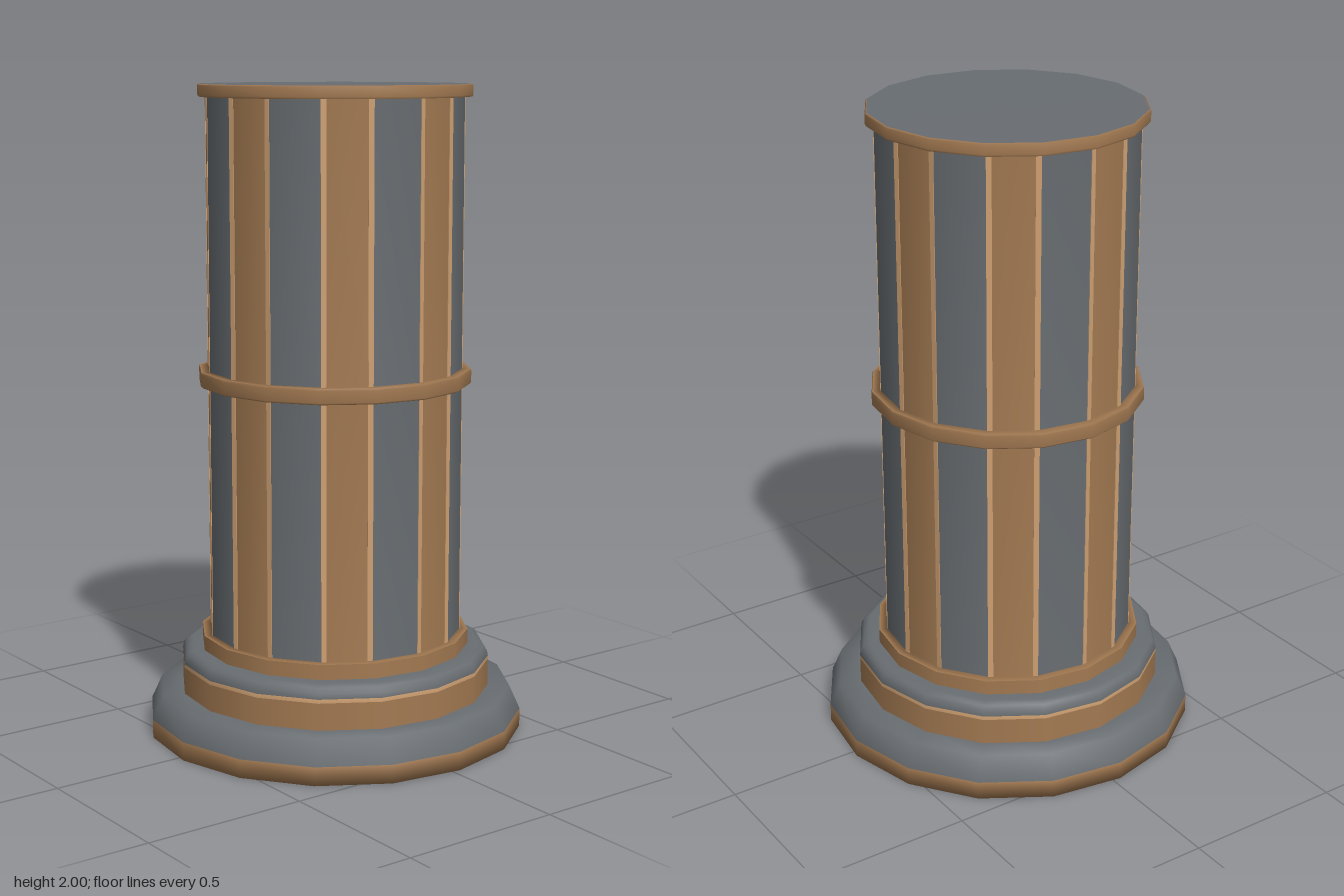
import * as THREE from 'three';

const SIDES = 16;
const STEP = (Math.PI * 2) / SIDES;
const START = 0.0428; // slight twist of the sixteen-sided column

const stone = new THREE.MeshStandardMaterial({ color: 0x686d71 });
stone.name = 'grey stone';
const bronze = new THREE.MeshStandardMaterial({ color: 0xa37a52 });
bronze.name = 'bronze';
const tan = new THREE.MeshStandardMaterial({ color: 0xcfa173 });
tan.name = 'light tan edge';
const materials = [stone, bronze, tan];
const S = 0, B = 1, T = 2;

// Turned part: a profile from bottom to top, one colour per profile span.
// A span colour may be a pair, which then alternates from side to side.
function turned(name, profile, colours) {
  const points = profile.map(([r, y]) => new THREE.Vector2(r, y));
  const geometry = new THREE.LatheGeometry(points, SIDES, START);
  const source = geometry.index.array;
  const buckets = materials.map(() => []);
  const spans = profile.length - 1;
  for (let i = 0; i < SIDES; i++) {
    for (let j = 0; j < spans; j++) {
      const c = Array.isArray(colours[j]) ? colours[j][i % 2] : colours[j];
      const at = (i * spans + j) * 6;
      buckets[c].push(...source.slice(at, at + 6));
    }
  }
  geometry.setIndex(buckets.flat());
  let offset = 0;
  buckets.forEach((bucket, c) => {
    if (bucket.length) geometry.addGroup(offset, bucket.length, c);
    offset += bucket.length;
  });
  const mesh = new THREE.Mesh(geometry, materials);
  mesh.name = name;
  return mesh;
}

// One shaft section with the ledges it meets and light edges on its bronze panels
function shaft(name, bottom, top) {
  const group = new THREE.Group();
  group.name = name;
  const r = 0.393;
  group.add(turned(name + 'Panels',
    [[0.42, bottom], [r, bottom], [r, top], [0.415, top]],
    [B, [B, S], B]));
  const half = r * Math.sin(STEP / 2);
  const face = r * Math.cos(STEP / 2);
  const width = 0.016;
  const edge = new THREE.BoxGeometry(width, top - bottom, 0.004);
  for (let i = 0; i < SIDES; i += 2) {
    const panel = new THREE.Group();
    panel.name = 'panelEdges';
    panel.rotation.y = START + (i + 0.5) * STEP;
    for (const side of [-1, 1]) {
      const strip = new THREE.Mesh(edge, tan);
      strip.name = 'panelEdge';
      strip.position.set(side * (half - width / 2), (bottom + top) / 2, face);
      panel.add(strip);
    }
    group.add(panel);
  }
  return group;
}

export function createModel() {
  const model = new THREE.Group();
  model.name = 'column';

  // Wide foot with a bronze band and sloping stone shoulder
  model.add(turned('foot',
    [[0, 0], [0.587, 0], [0.587, 0.057], [0.553, 0.132], [0.48, 0.132]],
    [S, B, S, S]));

  // Stepped plinth with a rounded stone lip
  model.add(turned('plinth',
    [[0.485, 0.132], [0.485, 0.215], [0.485, 0.227], [0.482, 0.243],
      [0.473, 0.258], [0.455, 0.266], [0.415, 0.266]],
    [B, T, S, S, S, S]));

  // Bronze rings and the two shaft sections between them
  model.add(turned('lowerRing', [[0.42, 0.266], [0.42, 0.312]], [B]));
  model.add(shaft('lowerShaft', 0.312, 1.09));
  model.add(turned('middleRing',
    [[0.415, 1.09], [0.422, 1.096], [0.422, 1.132], [0.42, 1.138]], [B, B, B]));
  model.add(shaft('upperShaft', 1.138, 1.962));

  // Crown ring with its stone cap
  model.add(turned('crown',
    [[0.415, 1.962], [0.418, 1.968], [0.418, 1.996], [0.413, 2], [0, 2]],
    [B, B, B, S]));

  return model;
}
